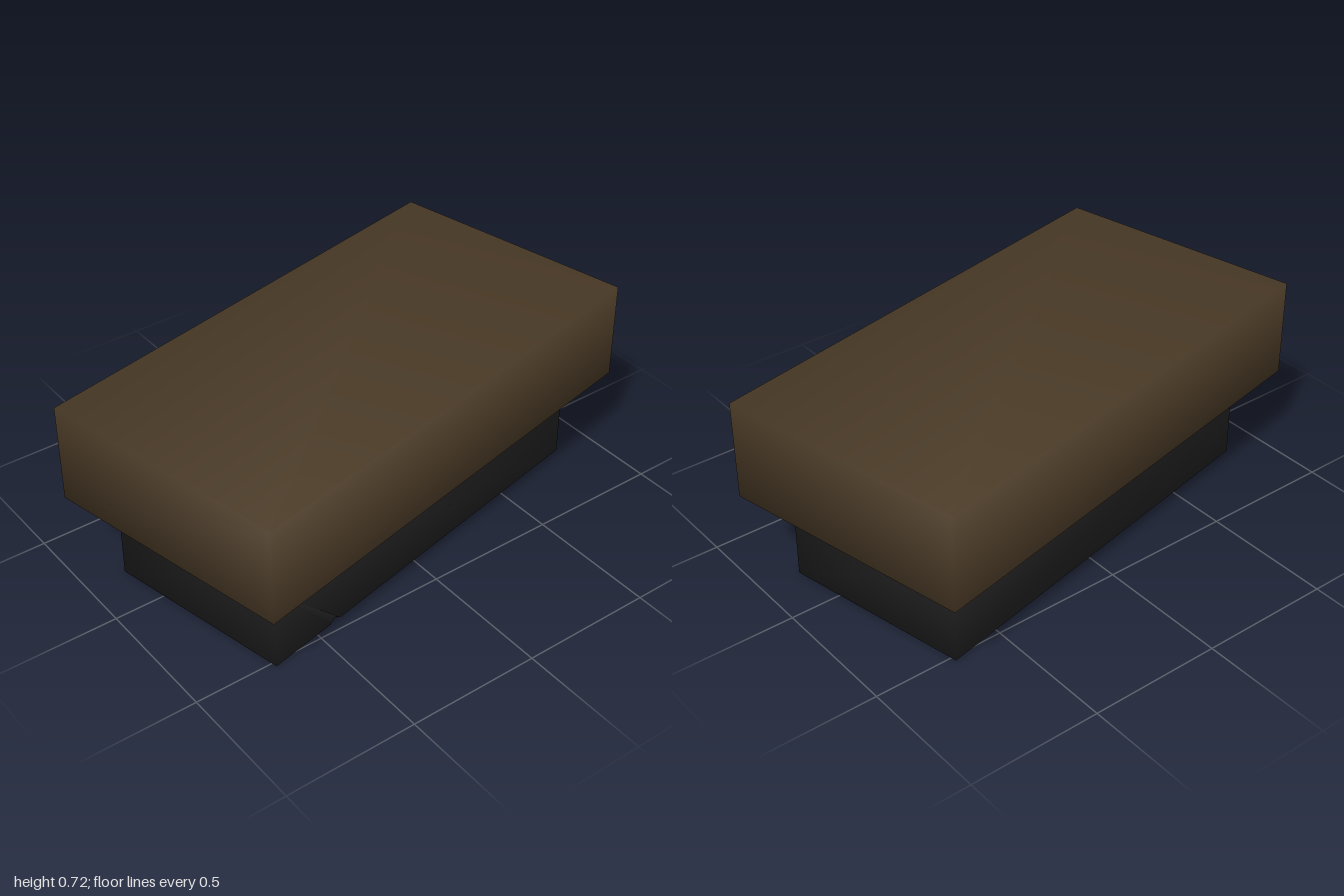
import * as THREE from 'three';

// Rectangle corners at one height: front left, front right, back right, back left
const ring = (w, d, y) => [[-w, y, d], [w, y, d], [w, y, -d], [-w, y, -d]];

// Smooth solid from a few points and convex-fan faces; each list of faces gets one material
function solid(name, points, faceLists, materials) {
  const index = [];
  const geometry = new THREE.BufferGeometry();
  faceLists.forEach((faces, m) => {
    const start = index.length;
    for (const f of faces)
      for (let i = 1; i < f.length - 1; i++) index.push(f[0], f[i], f[i + 1]);
    geometry.addGroup(start, index.length - start, m);
  });
  geometry.setAttribute('position', new THREE.Float32BufferAttribute(points.flat(), 3));
  geometry.setIndex(index);
  geometry.computeVertexNormals();
  const mesh = new THREE.Mesh(geometry, materials);
  mesh.name = name;
  return mesh;
}

// Side face i between a lower ring starting at a and an upper ring starting at b
const side = (a, b, i) => [a + i, a + (i + 1) % 4, b + (i + 1) % 4, b + i];

export function createModel() {
  const brown = new THREE.MeshStandardMaterial({ color: 0x4a3a26 });
  brown.name = 'dark brown';
  const black = new THREE.MeshStandardMaterial({ color: 0x252525 });
  black.name = 'soft black';

  const group = new THREE.Group();
  group.name = 'paddedBlock';

  // Upper block with a shallow sloped underside; the back slope takes the base colour
  const upper = [...ring(0.79, 0.365, 0.312), ...ring(0.92, 0.485, 0.347), ...ring(0.92, 0.485, 0.72)];
  const brownFaces = [[8, 9, 10, 11]];
  for (let i = 0; i < 4; i++) {
    brownFaces.push(side(4, 8, i));
    if (i !== 2) brownFaces.push(side(0, 4, i));
  }
  group.add(solid('upperBlock', upper, [brownFaces, [side(0, 4, 2)]], [brown, black]));

  // Base with a small nick in its lower front edge (points 8 to 11)
  const base = [
    ...ring(0.79, 0.365, 0), ...ring(0.79, 0.365, 0.312),
    [-0.52, 0, 0.365], [-0.495, 0.02, 0.365], [-0.47, 0, 0.365], [-0.495, 0, 0.345],
  ];
  const baseFaces = [
    [4, 0, 8, 9, 10, 1, 5], // front wall
    side(0, 4, 1), side(0, 4, 2), side(0, 4, 3),
    [3, 2, 1, 10, 11, 8, 0], // underside
    [8, 11, 9], [10, 9, 11], // nick
  ];
  group.add(solid('base', base, [baseFaces], [black]));

  group.rotation.y = 0.208;
  const model = new THREE.Group();
  model.name = 'model';
  model.add(group);
  return model;
}
